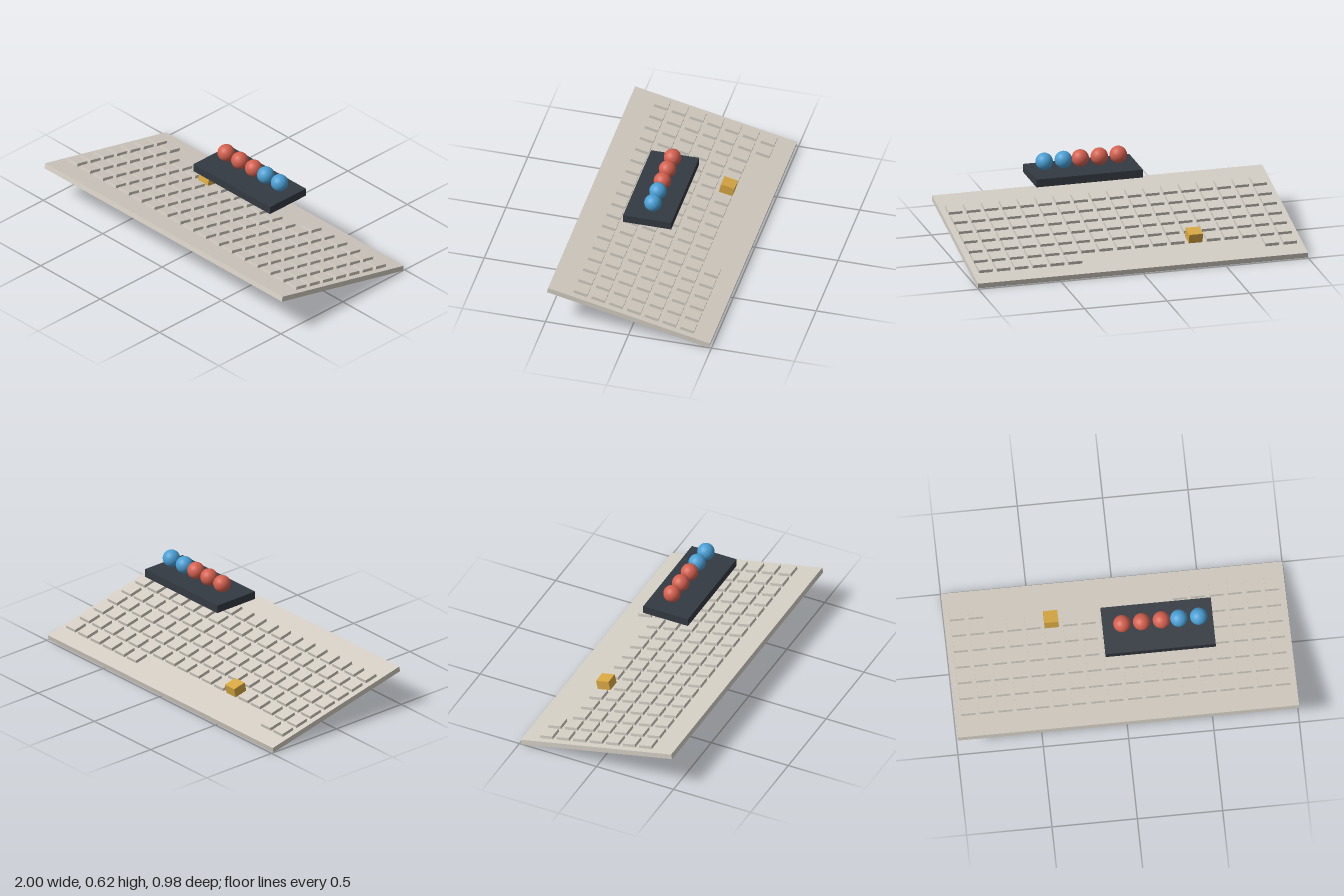
import * as THREE from 'three';

const material = (name, color) => {
  const m = new THREE.MeshStandardMaterial({ color });
  m.name = name;
  return m;
};

export function createModel() {
  const model = new THREE.Group();
  model.name = 'keyboardWithTray';

  const beige = material('warmBeige', 0xd4cec4);
  const yellow = material('mustardYellow', 0xd9a843);
  const charcoal = material('charcoal', 0x343a42);
  const red = material('coralRed', 0xd4604f);
  const blue = material('skyBlue', 0x4a9fd4);

  const add = (parent, name, geometry, mat, x, y, z) => {
    const mesh = new THREE.Mesh(geometry, mat);
    mesh.name = name;
    mesh.position.set(x, y, z);
    parent.add(mesh);
    return mesh;
  };

  // Tilted keyboard, raised at the front
  const thickness = 0.032;
  const keyboard = new THREE.Group();
  keyboard.name = 'keyboard';
  keyboard.position.y = 0.125;
  keyboard.rotation.x = -0.22;
  model.add(keyboard);
  add(keyboard, 'baseBoard', new THREE.BoxGeometry(2, thickness, 1), beige, 0, 0, 0);

  // Key grid: row 0 is at the back and has a gap in the middle
  const columns = 18, rows = 7, keySize = 0.083, keyHeight = 0.019, tallHeight = 0.057;
  const keyGeometry = new THREE.BoxGeometry(keySize, keyHeight, keySize);
  const tallGeometry = new THREE.BoxGeometry(keySize, tallHeight, keySize);
  const top = thickness / 2;
  for (let row = 0; row < rows; row++) {
    for (let col = 0; col < columns; col++) {
      if (row === 0 && col > 1 && col < 12) continue;
      const x = -0.9225 + col * 0.1085;
      const z = -0.346 + row * 0.1097;
      if (row === 1 && col === 5) {
        add(keyboard, 'raisedKey', tallGeometry, yellow, x, top + tallHeight / 2, z);
      } else {
        add(keyboard, 'key', keyGeometry, beige, x, top + keyHeight / 2, z);
      }
    }
  }

  // Floating tray with a row of balls above it
  add(model, 'tray', new THREE.BoxGeometry(0.645, 0.048, 0.29), charcoal, 0.223, 0.488, 0.007);
  const ballGeometry = new THREE.SphereGeometry(0.051, 32, 20);
  [0.012, 0.127, 0.243, 0.345, 0.461].forEach((x, i) =>
    add(model, 'ball', ballGeometry, i < 3 ? red : blue, x, 0.573, -0.006));

  return model;
}
